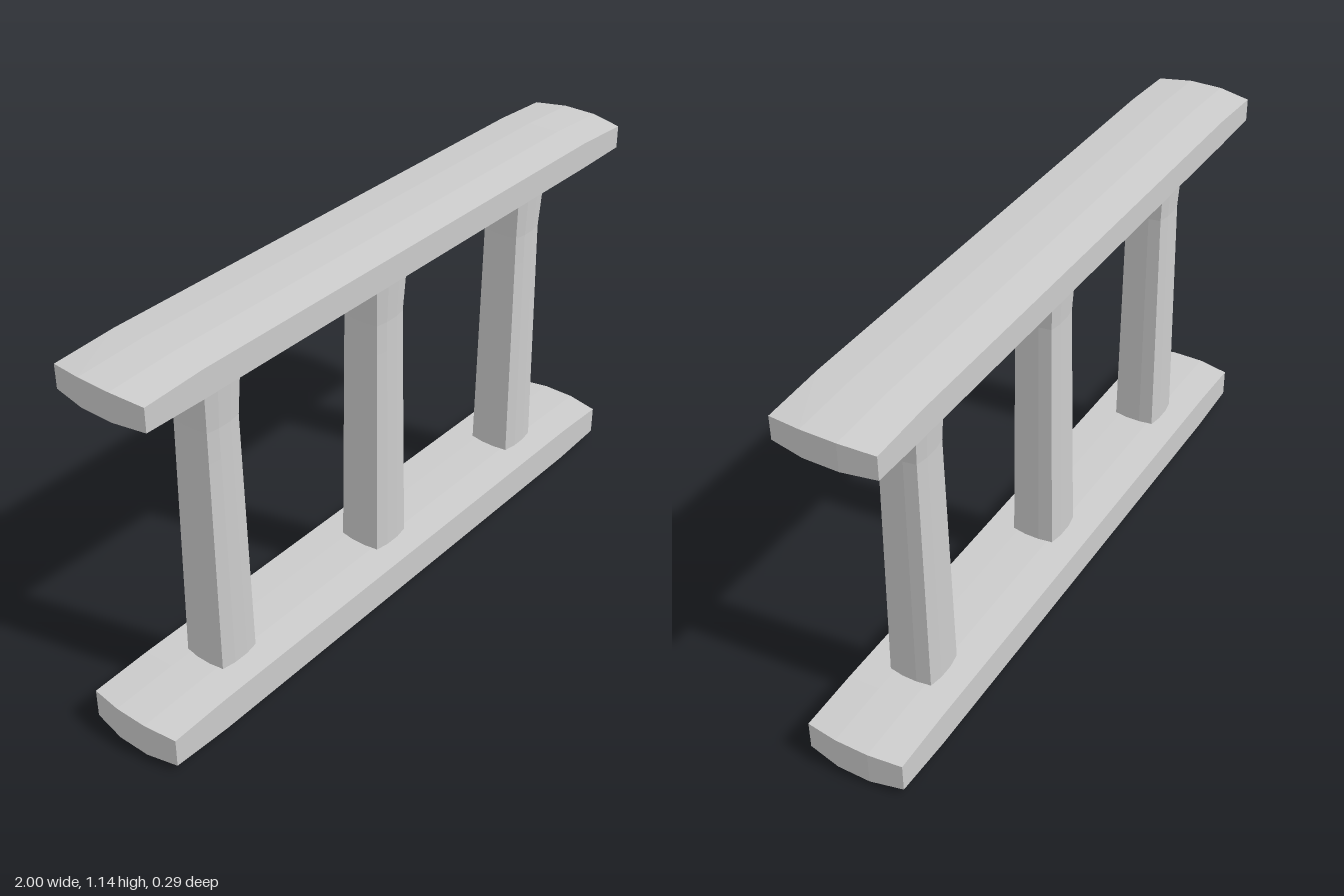
import * as THREE from 'three';

const material = new THREE.MeshStandardMaterial({ color: 0xcccccc, flatShading: true });

// Box whose vertices are moved by a rule
function shapedBox(name, segments, rule) {
  const geometry = new THREE.BoxGeometry(2, 2, 2, ...segments);
  const pos = geometry.attributes.position;
  for (let i = 0; i < pos.count; i++) {
    pos.setXYZ(i, ...rule(pos.getX(i), pos.getY(i), pos.getZ(i)));
  }
  geometry.computeVertexNormals();
  const mesh = new THREE.Mesh(geometry, material);
  mesh.name = name;
  return mesh;
}

const isOuter = (v) => Math.abs(v) > 0.9;

// Beam with softly crowned top, bottom and ends; drops are [sides, ends]
function rail(name, top, topDrop, bottom, bottomRise) {
  return shapedBox(name, [3, 1, 3], (x, y, z) => {
    const end = isOuter(x), side = isOuter(z);
    const px = Math.sign(x) * (end ? (side ? 0.985 : 1) : 0.8);
    const pz = Math.sign(z) * (side ? 0.147 : 0.05);
    const [s, e] = y > 0 ? topDrop : bottomRise;
    const shift = (side ? s : 0) + (end ? e : 0);
    return [px, y > 0 ? top - shift : bottom + shift, pz];
  });
}

// Post levels: [height, half width]
const levels = [[0.1, 0.072], [0.78, 0.064], [0.87, 0.063], [0.96, 0.068], [1.07, 0.074]];

// Four-sided post with bowed faces and a narrow waist
function post(x0) {
  const bow = (v, other) => Math.sign(v) * (isOuter(v) ? (isOuter(other) ? 0.9 : 1) : 0.32);
  return shapedBox('post', [3, levels.length - 1, 3], (x, y, z) => {
    const [height, half] = levels[Math.round((y + 1) / 2 * (levels.length - 1))];
    return [x0 + bow(x, z) * half, height, bow(z, x) * half];
  });
}

export function createModel() {
  const group = new THREE.Group();
  group.name = 'railing';
  group.add(rail('topRail', 1.14, [0.009, 0.009], 1.047, [0.004, 0.003]));
  group.add(rail('bottomRail', 0.118, [0.005, 0.006], 0, [0.01, 0.01]));
  for (const x of [-0.657, 0, 0.657]) group.add(post(x));
  return group;
}
